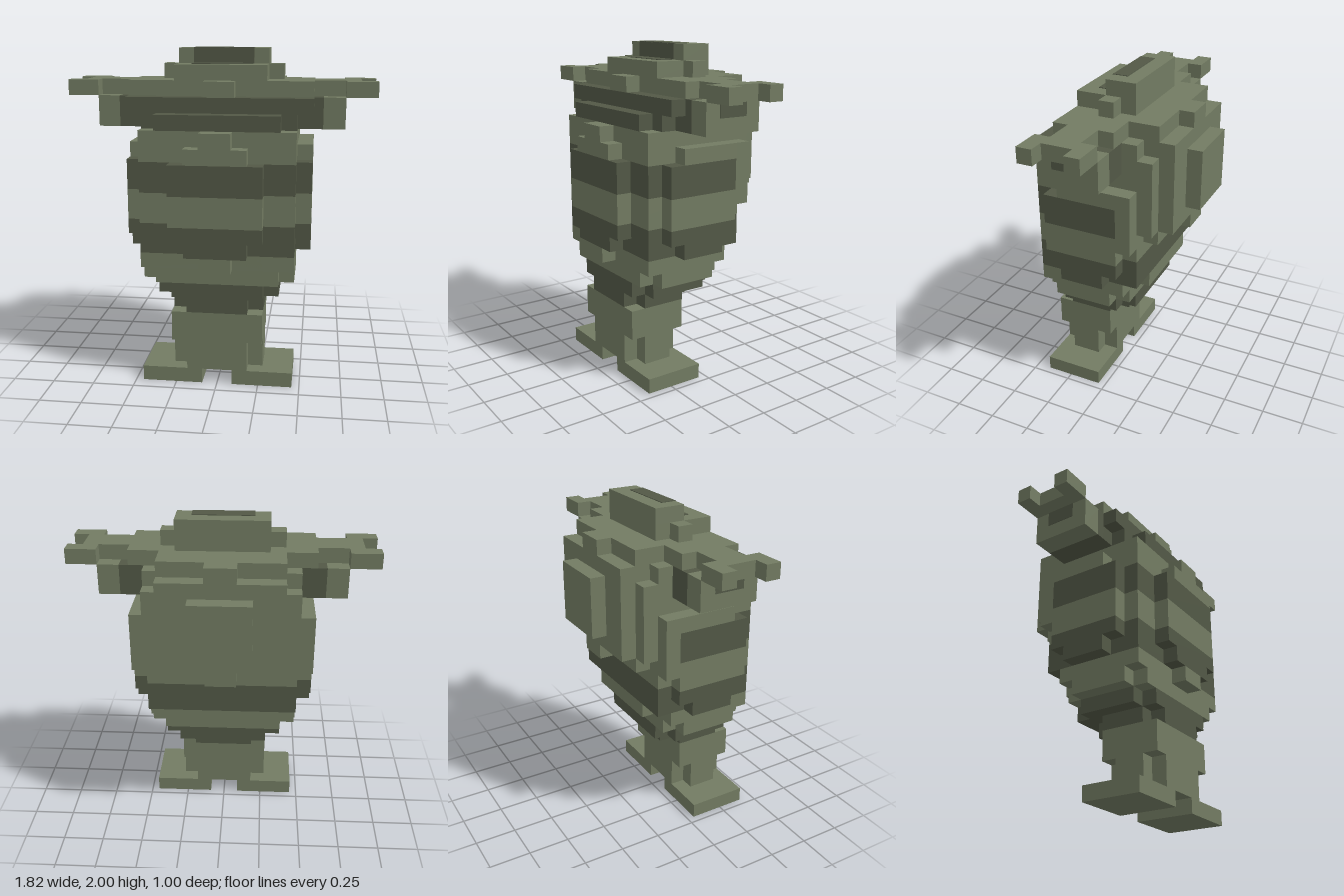
import * as THREE from 'three';

const U = 1 / 11; // one cell

export function createModel() {
  const root = new THREE.Group();
  root.name = 'blockCreature';
  const olive = new THREE.MeshStandardMaterial({ color: 0x727b62 });
  olive.name = 'olive';
  const dark = new THREE.MeshStandardMaterial({ color: 0x525846 });
  dark.name = 'darkOlive';

  const part = (name) => {
    const g = new THREE.Group();
    g.name = name;
    root.add(g);
    return g;
  };

  // Box between cell limits
  const box = (group, mat, x0, x1, y0, y1, z0, z1) => {
    const geo = new THREE.BoxGeometry((x1 - x0) * U, (y1 - y0) * U, (z1 - z0) * U);
    const m = new THREE.Mesh(geo, mat);
    m.name = group.name + 'Block';
    m.position.set((x0 + x1) / 2 * U, (y0 + y1) / 2 * U, (z0 + z1) / 2 * U);
    group.add(m);
  };
  // Box centred on x = 0
  const slab = (group, mat, x, y0, y1, z0, z1) => box(group, mat, -x, x, y0, y1, z0, z1);

  // Centred box cut into the dark bands that ring the body
  const cuts = [0, 5, 7, 9, 11, 13, 15, 22];
  const banded = (group, x, y0, y1, z0, z1) => {
    for (let i = 0; i < cuts.length - 1; i++) {
      const a = Math.max(y0, cuts[i]), b = Math.min(y1, cuts[i + 1]);
      if (b > a) slab(group, i % 2 ? dark : olive, x, a, b, z0, z1);
    }
  };

  // Feet
  for (const s of [-1, 1]) {
    const foot = part(s > 0 ? 'leftFoot' : 'rightFoot');
    box(foot, olive, Math.min(s, s * 5), Math.max(s, s * 5), 0, 1, 0.5, 4.5);
  }

  // Legs, notched at the corners near the feet
  const legs = part('legs');
  slab(legs, olive, 2, 1, 3, 0.5, 4.5);
  slab(legs, olive, 3, 1, 3, 1.5, 3.5);
  slab(legs, olive, 3, 3, 5, 0.5, 4.5);

  // Rounded body: [half width, y0, y1, z back, z front]
  const body = part('body');
  [
    [3, 5, 6, 0.5, 3.5], [2, 5, 6, -0.5, 4.5],
    [4, 6, 7, -0.5, 3.5], [3, 6, 7, -1.5, 4.5],
    [5, 7, 8, -0.5, 3.5], [4, 7, 8, -1.5, 4.5],
    [5, 8, 9, -1.5, 4.5], [3, 8, 9, -2.5, 4.5], [1, 8, 9, 4.5, 5.5],
    [6, 9, 10, -0.5, 2.5], [5, 9, 12, -2.5, 4.5], [2, 9, 10, 4.5, 5.5],
    [6, 10, 15, -1.5, 3.5], [5, 12, 15, -1.5, 4.5], [3, 10, 15, 4.5, 5.5],
    [6, 15, 16, -1.5, 2.5], [5, 15, 17, -1.5, 4.5], [2, 15, 16, 4.5, 5.5],
    [1, 16, 17, 4.5, 5.5],
  ].forEach((r) => banded(body, ...r));

  // Stepped hump on the back
  const hump = part('backHump');
  [
    [6, 12, 16, -2.5, -1.5], [5, 16, 19, -2.5, -1.5], [4, 19, 20, -2.5, -1.5],
    [5, 13, 18, -3.5, -2.5], [4, 12, 20, -3.5, -2.5],
    [4, 13, 19, -4.5, -3.5], [1, 12, 20, -4.5, -3.5],
    [2, 14, 18, -5.5, -4.5],
  ].forEach((r) => slab(hump, olive, ...r));

  // Face: dark brow steps and a small nose
  const face = part('face');
  slab(face, dark, 4, 17, 18, 2.5, 4.5);
  slab(face, dark, 5, 17, 18, 2.5, 3.5);
  slab(face, dark, 6, 18, 19, 2.5, 3.5);
  const nose = part('nose');
  slab(nose, olive, 1, 19, 20, 2.5, 3.5);

  // Head and cap
  const head = part('head');
  slab(head, dark, 6, 17, 19, -1.5, 2.5);
  slab(head, olive, 6, 19, 20, -1.5, 2.5);
  const cap = part('cap');
  slab(cap, olive, 3, 20, 21, -1.5, 2.5);
  slab(cap, olive, 4, 20, 21, -0.5, 0.5);
  slab(cap, olive, 3, 21, 22, -1.5, 0.5);
  const patch = part('capPatch');
  slab(patch, dark, 2, 22, 22.04, -0.5, 0.5);
  slab(patch, dark, 2, 21, 22, 0.5, 0.54);
  slab(patch, dark, 2, 21, 21.04, 0.5, 1.5);

  // Ears with forked horns above them
  for (const s of [-1, 1]) {
    const side = s > 0 ? 'left' : 'right';
    const sideBox = (g, mat, a, b, ...rest) =>
      box(g, mat, Math.min(s * a, s * b), Math.max(s * a, s * b), ...rest);
    const ear = part(side + 'Ear');
    sideBox(ear, dark, 6, 6.6, 17, 19, -1.5, 2.5);
    sideBox(ear, olive, 6.6, 8, 17, 19, -1.5, 2.5);
    sideBox(ear, dark, 8, 8.04, 18, 19, -0.5, 1.5);
    const horn = part(side + 'Horn');
    sideBox(horn, olive, 6, 9, 19, 20, -0.5, 1.5);
    sideBox(horn, olive, 8, 10, 19, 20, -1.5, -0.5);
    sideBox(horn, olive, 8, 10, 19, 20, 1.5, 2.5);
  }
  return root;
}
